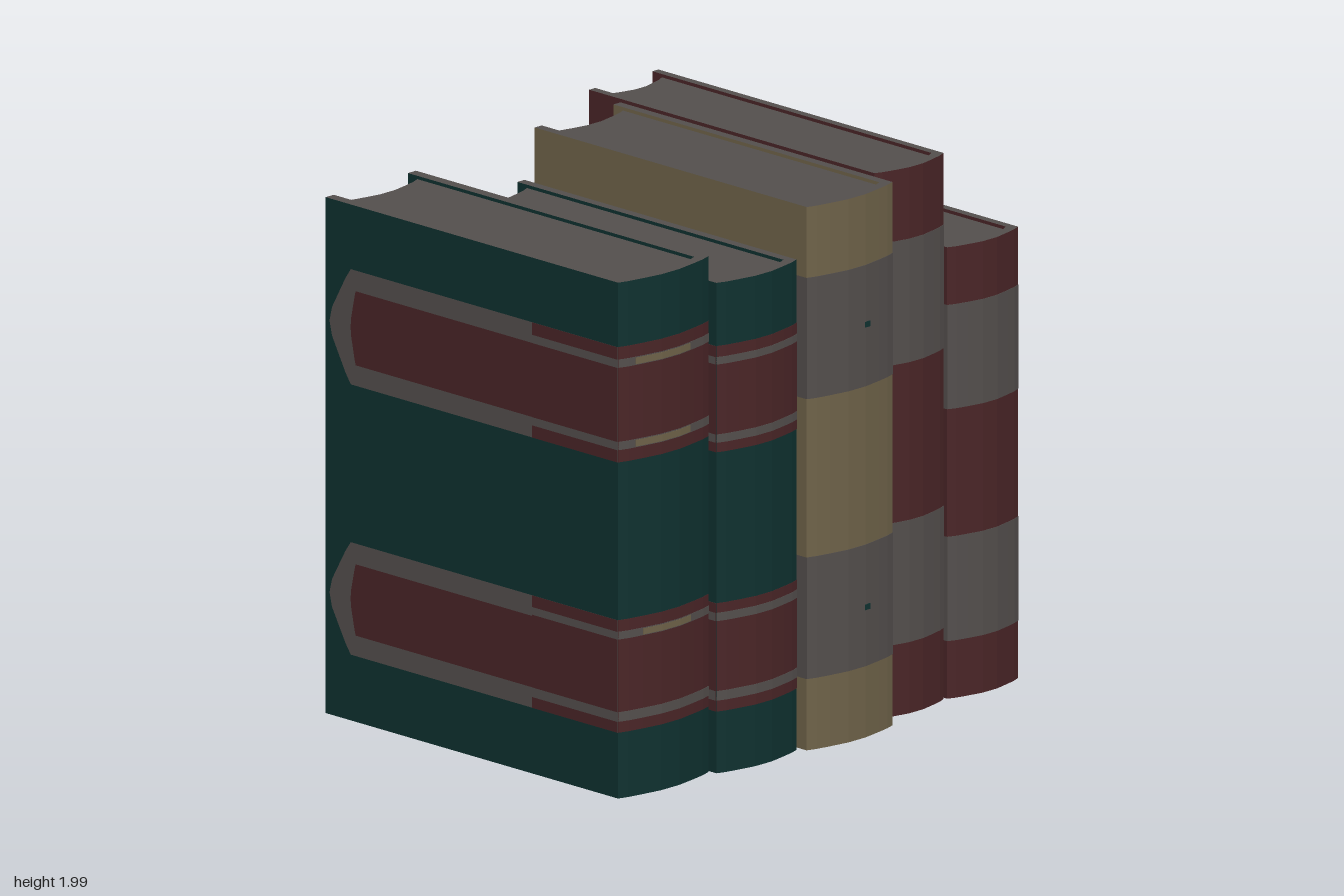
import * as THREE from 'three';

const mat = (name, color) => Object.assign(new THREE.MeshStandardMaterial({ color }), { name });
const M = {
  gray: mat('warm gray paper', 0x544f4d),
  red: mat('maroon leather', 0x4a2527),
  green: mat('dark green leather', 0x0f3130),
  gold: mat('dull gold', 0x6f6349),
};

// x0,x1: width, h: height, zb: back edge, zf: spine edge, t: cover thickness
// bands: [bottom, top]; stripes: [bottom, top, goldStart, goldEnd]
const BOOKS = [
  { x0: -1, x1: -0.555, h: 1.88, zb: -0.77, zf: 0.67, t: 0.04, base: 'green', band: 'red',
    bands: [[0.24, 0.65], [1.225, 1.645]],
    stripes: [[0.28, 0.315], [0.58, 0.608, 0.22, 0.74], [1.27, 1.3, 0.15, 0.73], [1.57, 1.6, 0.15, 0.73]] },
  { x0: -0.545, x1: -0.15, h: 1.787, zb: -0.64, zf: 0.7, t: 0.035, base: 'green', band: 'red',
    bands: [[0.225, 0.62], [1.17, 1.557]],
    stripes: [[0.265, 0.3], [0.555, 0.585], [1.205, 1.235], [1.49, 1.517]] },
  { x0: -0.13, x1: 0.293, h: 1.98, zb: -0.61, zf: 0.73, t: 0.035, base: 'gold', band: 'gray',
    bands: [[0.26, 0.703], [1.28, 1.722]], stripes: [], studs: [0.475, 1.505] },
  { x0: 0.299, x1: 0.64, h: 1.99, zb: -0.77, zf: 0.635, t: 0.03, base: 'red', band: 'gray',
    bands: [[0.26, 0.705], [1.28, 1.73]], stripes: [] },
  { x0: 0.651, x1: 1, h: 1.645, zb: -0.69, zf: 0.642, t: 0.03, base: 'red', band: 'gray',
    bands: [[0.21, 0.59], [1.055, 1.435]], stripes: [] },
];

// rounded spine bulge, piecewise linear over the book's width
const KNOTS = [[0, 0], [0.09, 0.35], [0.22, 0.65], [0.4, 1], [0.6, 1], [0.78, 0.65], [0.91, 0.35], [1, 0]];
function bulge(u) {
  for (let i = 1; i < KNOTS.length; i++) {
    const [a, fa] = KNOTS[i - 1], [b, fb] = KNOTS[i];
    if (u <= b) return 0.036 * (fa + (fb - fa) * (u - a) / (b - a));
  }
  return 0;
}
function curve(xa, xb, z, u0 = 0, u1 = 1) {
  const us = [u0, ...KNOTS.map(k => k[0]).filter(u => u > u0 && u < u1), u1];
  return us.map(u => [xa + (xb - xa) * u, z + bulge(u)]);
}

// prism standing on y0 from a plan outline of [x, z] points
function prism(name, pts, y0, y1, material) {
  const shape = new THREE.Shape(pts.map(([x, z]) => new THREE.Vector2(x, -z)));
  const geo = new THREE.ExtrudeGeometry(shape, { depth: y1 - y0, bevelEnabled: false });
  geo.rotateX(-Math.PI / 2).translate(0, y0, 0);
  const mesh = new THREE.Mesh(geo, material);
  mesh.name = name;
  return mesh;
}

// thin strip wrapped around the spine
function spineStrip(b, name, y0, y1, material, layer, u0 = 0, u1 = 1) {
  const outer = curve(b.x0, b.x1, b.zf + 0.0015 * layer, u0, u1);
  const inner = curve(b.x0, b.x1, b.zf - 0.005, u0, u1).reverse();
  return prism(name, [...outer, ...inner], y0, y1, material);
}

// flat plates on both cover boards from an outline of [z, y] points
function boardPlates(b, name, pts, material, layer) {
  return [-1, 1].map(s => {
    const shape = new THREE.Shape(pts.map(([z, y]) => new THREE.Vector2(-s * z, y)));
    const geo = new THREE.ShapeGeometry(shape).rotateY(s * Math.PI / 2);
    geo.translate((s < 0 ? b.x0 : b.x1) + s * 0.0012 * layer, 0, 0);
    const mesh = new THREE.Mesh(geo, material);
    mesh.name = name + (s < 0 ? 'Right' : 'Left');
    return mesh;
  });
}
function arrow(b, y0, y1, tip, body) {
  const m = (y0 + y1) / 2, r = (y1 - y0) / 2, w = body - tip;
  const side = [[body, 1], [tip + 0.75 * w, 0.82], [tip + 0.12 * w, 0.25]];
  return [[b.zf, y0], ...side.map(([d, k]) => [b.zb + d, m - k * r]), [b.zb + tip, m],
    ...side.reverse().map(([d, k]) => [b.zb + d, m + k * r]), [b.zf, y1]];
}
const rect = (za, zb, y0, y1) => [[za, y0], [zb, y0], [zb, y1], [za, y1]];

function buildBook(b, index) {
  const g = new THREE.Group();
  g.name = 'book' + (index + 1);
  const { x0, x1, zb, zf, t, h } = b;
  const xa = x0 + t, xb = x1 - t;

  // cover: two boards and a rounded spine, with gray cut edges
  g.add(prism('cover', [[x0, zb], ...curve(x0, x1, zf), [x1, zb], [xb, zb],
    ...curve(xa, xb, zf - 0.03).reverse(), [xa, zb]], 0, h, [M.gray, M[b.base]]));
  // page block with hollow fore-edge
  g.add(prism('pages', [...curve(xa, xb, zf - 0.03), ...curve(xa, xb, zb + 0.047).reverse()],
    0.012, h - 0.012, M.gray));

  for (const [y0, y1] of b.bands) {
    g.add(spineStrip(b, 'spineBand', y0, y1, M[b.band], 1));
    g.add(...boardPlates(b, 'boardBand', arrow(b, y0, y1, 0.02, 0.125), M.gray, 1));
    if (b.band === 'red') {
      // red panel inside the gray border, and red hinge by the spine
      g.add(...boardPlates(b, 'boardPanel', arrow(b, y0 + 0.075, y1 - 0.075, 0.125, 0.15), M.red, 2));
      g.add(...boardPlates(b, 'boardHinge', rect(0.25, zf, y0, y1), M.red, 2));
    }
  }
  // thin stripes with gold centres
  for (const [y0, y1, g0, g1] of b.stripes) {
    g.add(spineStrip(b, 'spineStripe', y0, y1, M.gray, 2));
    if (g0) g.add(spineStrip(b, 'goldStripe', y0 + 0.003, y1 - 0.003, M.gold, 3, g0, g1));
    g.add(...boardPlates(b, 'boardStripe', rect(0.25, zf, y0, y1), M.gray, 3));
  }
  // small studs on the spine
  for (const y of b.studs || []) {
    const stud = new THREE.Mesh(new THREE.BoxGeometry(0.026, 0.02, 0.006), M.green);
    stud.position.set(0.132, y, zf + 0.036);
    stud.name = 'spineStud';
    g.add(stud);
  }
  return g;
}

export function createModel() {
  const model = new THREE.Group();
  model.name = 'bookRow';
  BOOKS.forEach((b, i) => model.add(buildBook(b, i)));
  return model;
}
